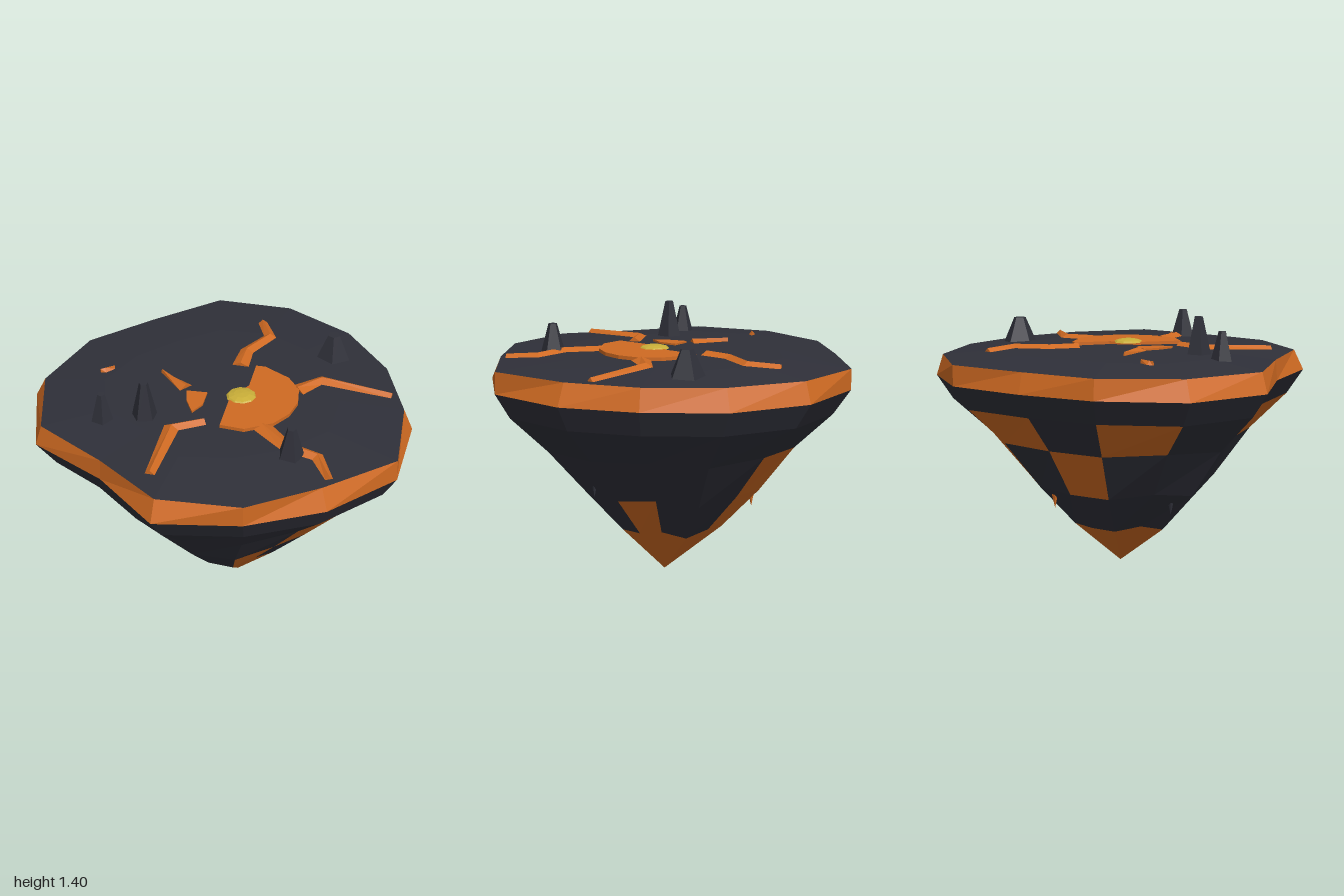
import * as THREE from 'three';

const material = (name, color) => {
  const m = new THREE.MeshStandardMaterial({ color, flatShading: true });
  m.name = name;
  return m;
};

export function createModel() {
  const group = new THREE.Group();
  const rock = material('dark rock', 0x2f3039);
  const lava = material('orange lava', 0xcf6a22);
  const glow = material('yellow core', 0xc9ae38);

  const add = (name, geometry, mat) => {
    const mesh = new THREE.Mesh(geometry, mat);
    mesh.name = name;
    group.add(mesh);
    return mesh;
  };
  const fromTriangles = (points) => {
    const g = new THREE.BufferGeometry().setFromPoints(points);
    g.computeVertexNormals();
    return g;
  };

  // Irregular outline of the island, as x, z
  const outline = [
    [-0.21, -0.96], [0.21, -0.985], [0.6, -0.785], [0.85, -0.44], [1, -0.06],
    [0.97, 0.39], [0.67, 0.71], [0.3, 0.9], [-0.13, 0.975], [-0.46, 0.69],
    [-0.86, 0.48], [-1, 0.04], [-0.83, -0.385], [-0.55, -0.69],
  ];
  const inset = [1, 0.965, 0.95, 0.965, 0.95, 0.995, 0.95, 1, 0.945, 0.99, 0.965, 0.945, 0.99, 0.97];
  const n = outline.length;

  // Rings from the top centre to the tip: height, scale, x shift, roundness, y wobble
  const ring = (y, s, cx = 0, round = 0, wobble = 0) => outline.map(([x, z], i) => {
    const k = s * (1 + round * (0.97 / Math.hypot(x, z) - 1));
    return new THREE.Vector3(x * k + cx, y + wobble * Math.sin(i * 2.4), z * k);
  });
  const rim = outline.map(([x, z], i) => new THREE.Vector3(x * inset[i], 1.18 + 0.004 * x, z * inset[i]));
  const rings = [
    ring(1.212, 0), ring(1.205, 0.62), rim, ring(1.07, 1),
    ring(0.94, 0.915, 0.015), ring(0.745, 0.715, 0.03, 0.2, 0.012),
    ring(0.49, 0.515, 0.02, 0.5, 0.02), ring(0.265, 0.305, 0.035, 0.6, 0.02), ring(0, 0, 0.1),
  ];

  // Sectors that glow on each row of faces below the rim
  const hot = { 4: [5, 8, 11, 13], 5: [0, 5, 12], 6: [0, 3, 6] };
  const shell = (keep) => {
    const points = [];
    for (let r = 0; r < rings.length - 1; r++) {
      for (let i = 0; i < n; i++) {
        if (!keep(r, i)) continue;
        const j = (i + 1) % n;
        const [a, b, c, d] = [rings[r][i], rings[r][j], rings[r + 1][j], rings[r + 1][i]];
        if (r > 0) points.push(a, b, c);
        if (r === 0) points.push(a, c, d);
        else if (r < rings.length - 2) points.push(a, c, d);
        else points.splice(-3, 3, a, b, d);
      }
    }
    return fromTriangles(points);
  };
  const isPanel = (r, i) => (hot[r] || []).includes(i);
  add('rockBody', shell((r, i) => r !== 2 && r !== 7 && !isPanel(r, i)), rock);
  add('rimBand', shell((r) => r === 2), lava);
  add('lavaPanels', shell(isPanel), lava);
  add('lavaTip', shell((r) => r === 7), lava);

  // Raised lava cracks with a ridge; each point is x, z, width
  const surface = (r) => (r < 0.6 ? 1.212 - 0.012 * r : 1.205 - 0.07 * (r - 0.6));
  const crack = (name, path) => {
    const pts = path.map(([x, z]) => new THREE.Vector2(x, z));
    const sections = pts.map((p, i) => {
      const d = pts[Math.min(i + 1, pts.length - 1)].clone().sub(pts[Math.max(i - 1, 0)]).normalize();
      const w = path[i][2] / 2;
      const y = surface(p.length());
      return [
        new THREE.Vector3(p.x + d.y * w, y + 0.004, p.y - d.x * w),
        new THREE.Vector3(p.x, y + 0.024, p.y),
        new THREE.Vector3(p.x - d.y * w, y + 0.004, p.y + d.x * w),
      ];
    });
    const out = [];
    for (let i = 0; i < sections.length - 1; i++) {
      const [l, m, r] = sections[i];
      const [l2, m2, r2] = sections[i + 1];
      out.push(l, m, m2, l, m2, l2, m, r, r2, m, r2, m2);
    }
    const [l, m, r] = sections[0];
    const [le, me, re] = sections[sections.length - 1];
    out.push(l, r, m, re, le, me);
    add(name, fromTriangles(out), lava);
  };
  crack('backCrack', [[0.055, -0.245, 0.09], [0.06, -0.4, 0.075], [0.155, -0.575, 0.07], [0.085, -0.73, 0.05]]);
  crack('leftCrack', [[0.39, -0.08, 0.1], [0.5, -0.2, 0.08], [0.875, -0.16, 0.04]]);
  crack('frontLeftCrack', [[0.27, 0.28, 0.1], [0.42, 0.42, 0.08], [0.58, 0.46, 0.07], [0.66, 0.61, 0.04]]);
  crack('frontCrack', [[-0.02, 0.3, 0.06], [-0.17, 0.385, 0.085], [-0.185, 0.76, 0.05]]);
  crack('rightCrack', [[-0.18, 0.025, 0.08], [-0.34, -0.1, 0.01]]);
  crack('rightCrackEnd', [[-0.595, -0.085, 0.008], [-0.64, -0.055, 0.035], [-0.66, -0.04, 0.01]]);

  // Lava pool and its broken fragment
  const slab = (name, points, y, h) => {
    const shape = new THREE.Shape(points.map(([x, z]) => new THREE.Vector2(x, -z)));
    const g = new THREE.ExtrudeGeometry(shape, { depth: h, bevelEnabled: false });
    g.rotateX(-Math.PI / 2).translate(0, y, 0);
    add(name, g, lava);
  };
  slab('lavaPool', [
    [0.14, -0.245], [0.19, -0.245], [0.33, -0.165], [0.4, -0.07], [0.415, 0.05], [0.39, 0.16],
    [0.325, 0.26], [0.19, 0.34], [0.065, 0.33], [0.065, 0.08], [0.14, -0.05],
  ], 1.2, 0.026);
  slab('poolFragment', [[-0.17, 0.055], [-0.06, 0.05], [-0.06, 0.16], [-0.1, 0.235], [-0.15, 0.14]], 1.2, 0.02);

  // Glowing core, a shallow faceted dome
  const core = new THREE.SphereGeometry(0.08, 10, 3, 0, Math.PI * 2, 0, Math.PI / 2);
  core.scale(1, 0.25, 1);
  add('glowingCore', core, glow).position.set(0.12, 1.222, 0.05);

  // Rock spires on top: x, z, base radius, top radius, top height, turn
  [
    [-0.535, 0.36, 0.06, 0.02, 1.345, 0.3], [-0.33, 0.3, 0.07, 0.023, 1.4, 0.9],
    [0.45, 0.47, 0.07, 0.023, 1.355, 0.5], [0.52, -0.47, 0.095, 0.033, 1.33, 0.1],
  ].forEach(([x, z, r, t, top, turn], i) => {
    const spire = add(`spire${i + 1}`, new THREE.CylinderGeometry(t, r, top - 1.19, 5), rock);
    spire.position.set(x, (top + 1.19) / 2, z);
    spire.rotation.y = turn;
  });

  // Small hanging spikes on the underside
  [[0.56, 0.545, 0.1, rock], [-0.385, 0.425, 0.14, rock], [-0.12, 0.435, -0.42, lava]].forEach(([x, y, z, mat], i) => {
    const spike = add(`hangingSpike${i + 1}`, new THREE.ConeGeometry(0.025, 0.11, 5), mat);
    spike.position.set(x, y, z);
    spike.rotation.x = Math.PI;
  });

  return group;
}
